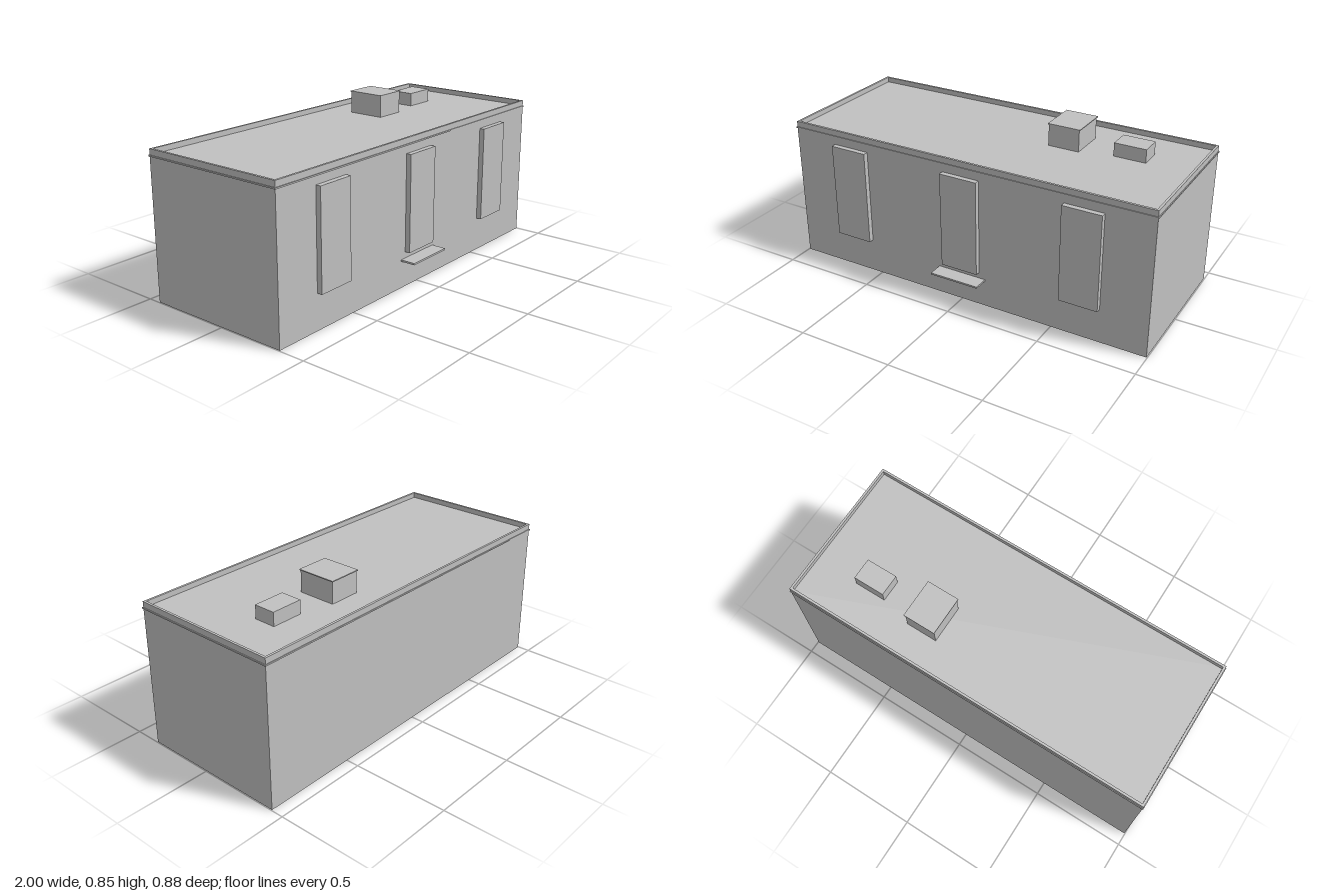
import * as THREE from 'three';

export function createModel() {
  const model = new THREE.Group();
  const grey = new THREE.MeshStandardMaterial({ color: 0xc0c0c0, side: THREE.DoubleSide });
  grey.name = 'plain grey';

  // footprint of the walls and main heights
  const X = 0.996, FRONT = 0.36, BACK = -0.434;
  const ROOF = 0.735, TOP = 0.762;
  const midZ = (FRONT + BACK) / 2, depth = FRONT - BACK;

  function add(name, geometry) {
    const mesh = new THREE.Mesh(geometry, grey);
    mesh.name = name;
    model.add(mesh);
    return mesh;
  }

  // box given by its limits on each axis
  function block(name, x0, x1, y0, y1, z0, z1) {
    const mesh = add(name, new THREE.BoxGeometry(x1 - x0, y1 - y0, z1 - z0));
    mesh.position.set((x0 + x1) / 2, (y0 + y1) / 2, (z0 + z1) / 2);
  }

  // rectangular frame around the footprint, offset outwards by "outer" and inwards by "inner"
  function ring(name, outer, inner, y0, y1) {
    const outline = (Type, d) => {
      const w = X + d, h = depth / 2 + d;
      return new Type([[-w, -h], [w, -h], [w, h], [-w, h]].map(p => new THREE.Vector2(...p)));
    };
    const shape = outline(THREE.Shape, outer);
    shape.holes.push(outline(THREE.Path, -inner));
    const geometry = new THREE.ExtrudeGeometry(shape, { depth: y1 - y0, bevelEnabled: false });
    geometry.rotateX(-Math.PI / 2);
    add(name, geometry).position.set(0, y0, midZ);
  }

  // four thin walls, open underneath
  for (const side of [-1, 1]) {
    const long = add(side > 0 ? 'frontWall' : 'backWall', new THREE.PlaneGeometry(2 * X, ROOF));
    long.position.set(0, ROOF / 2, side > 0 ? FRONT : BACK);
    long.rotation.y = side > 0 ? 0 : Math.PI;
    const end = add(side > 0 ? 'leftWall' : 'rightWall', new THREE.PlaneGeometry(depth, ROOF));
    end.position.set(side * X, ROOF / 2, midZ);
    end.rotation.y = side * Math.PI / 2;
  }

  // flat roof with parapet and a thin cornice
  const roof = add('roof', new THREE.PlaneGeometry(2 * X, depth));
  roof.rotation.x = -Math.PI / 2;
  roof.position.set(0, ROOF, midZ);
  ring('parapet', 0, 0.012, ROOF, TOP);
  ring('cornice', 0.004, 0, 0.725, 0.732);

  // front panels: window, door, window
  for (const [name, x] of [['rightWindow', -0.65], ['door', 0], ['leftWindow', 0.65]]) {
    block(name, x - 0.101, x + 0.101, 0.183, 0.685, FRONT + 0.001, 0.388);
  }
  block('doorStep', -0.133, 0.133, 0.142, 0.151, FRONT + 0.001, 0.44);

  // rooftop units
  block('largeRoofUnit', 0.247, 0.412, ROOF + 0.001, 0.849, -0.268, -0.07);
  block('largeRoofUnitCap', 0.243, 0.417, 0.849, 0.854, -0.274, -0.066);
  block('smallRoofUnit', 0.578, 0.745, ROOF + 0.001, 0.806, -0.227, -0.113);

  return model;
}
